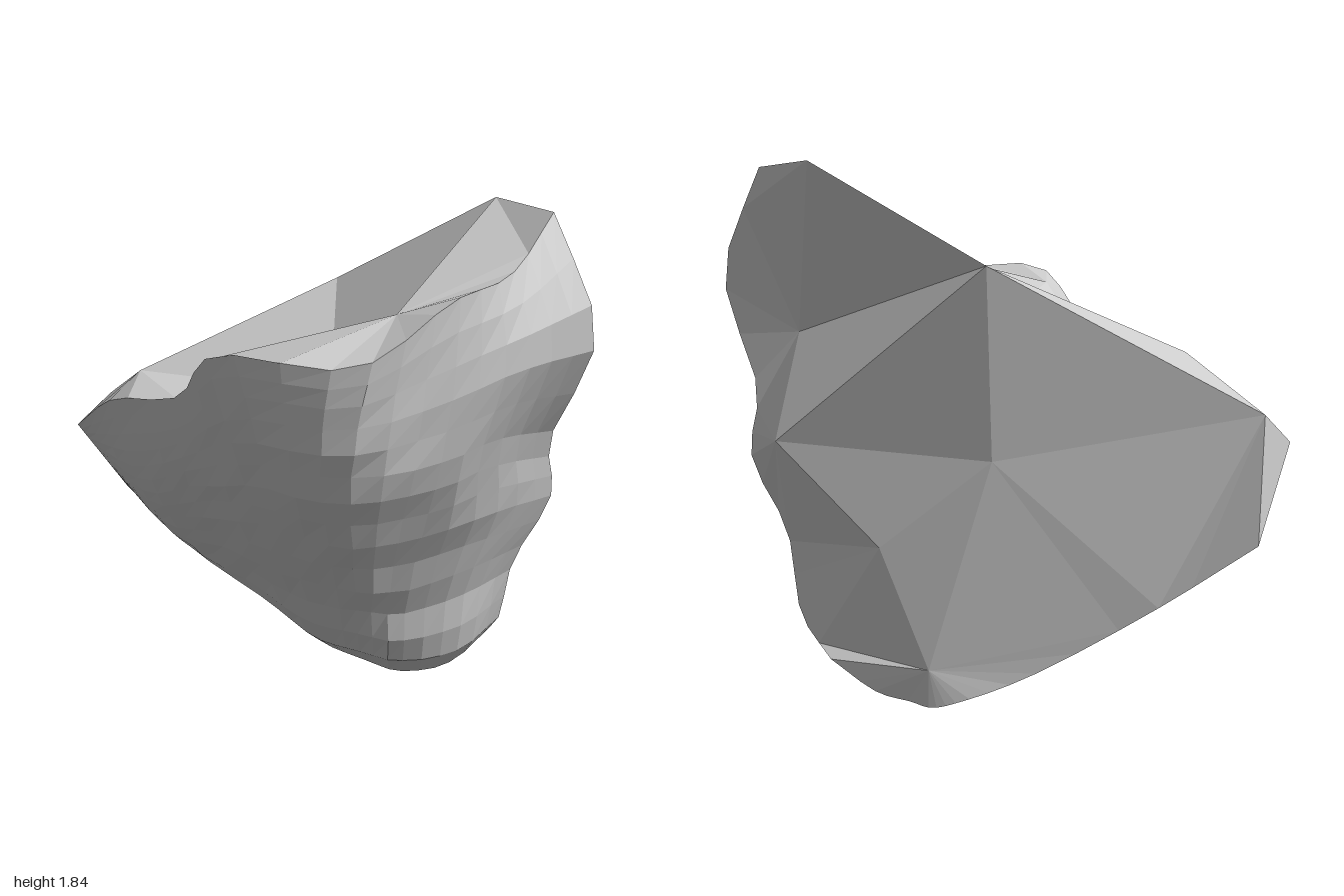
import * as THREE from 'three';

const V = (p) => new THREE.Vector3(...p);
const curve = (pts) => new THREE.CatmullRomCurve3(pts, false, 'centripetal');

// Profiles of the weathered shell, each from the lower edge to the top rim,
// running from the front right edge round the front and left to the back tip
const profiles = [
  [[.65, .13, .34], [.59, .25, .52], [.54, .53, .62], [.58, .8, .745], [.5, 1.02, .78], [.44, 1.43, .98], [.46, 1.82, .78]],
  [[.61, .03, .17], [.3, .2, .54], [.27, .5, .6], [.27, .8, .72], [.2, 1.05, .77], [.2, 1.38, .88], [.22, 1.64, .79]],
  [[.58, .01, .05], [.12, .19, .43], [.06, .45, .48], [-.03, .75, .61], [-.11, 1.02, .74], [-.12, 1.3, .79], [-.1, 1.59, .8]],
  [[.57, 0, -.03], [.08, .2, .26], [-.1, .48, .38], [-.31, .77, .53], [-.46, 1.03, .64], [-.49, 1.25, .69], [-.47, 1.42, .72]],
  [[.53, .03, -.13], [.1, .19, .05], [-.12, .47, .15], [-.38, .8, .27], [-.52, 1.03, .32], [-.61, 1.25, .33], [-.66, 1.43, .3]],
  [[.41, .11, -.31], [.15, .25, -.25], [-.08, .5, -.2], [-.27, .72, -.15], [-.41, .92, -.08], [-.49, 1.08, -.03], [-.55, 1.24, .02]],
  [[.2, .35, -.68], [.08, .42, -.66], [-.1, .6, -.62], [-.24, .82, -.59], [-.35, 1.1, -.57]],
  [[.08, .59, -1], [-.17, .9, -1]],
].map((p) => curve(p.map(V)));

// Corners of the broken faces
const peak = V([.59, 1.84, .45]), ridge = V([.48, 1.5, -.2]), tip = V([-.02, 1.01, -.97]);
const notch = V([.45, 1.24, .62]), bulge = V([.66, .88, .56]), knee = V([.6, .54, .16]);
const foot = V([.57, .13, -.02]), hollow = V([.45, .85, -.2]);
const crest = V([-.1, 1.52, .57]), dip = V([.02, 1.18, .18]), slope = V([-.18, 1.18, -.6]);
const stepTop = V([-.48, 1.38, .15]), stepFoot = V([-.44, 1.16, -.04]);

const NU = 22, NV = 16;

// Shell points: smooth across the profiles, with slanting ledges and fine chips
function shellGrid() {
  const rows = [];
  for (let j = 0; j <= NV; j++) {
    const v = j / NV;
    const across = curve(profiles.map((c) => c.getPoint(v)));
    const row = [];
    for (let i = 0; i <= NU; i++) {
      const u = i / NU, p = across.getPoint(u);
      const fade = Math.sin(Math.PI * u) * Math.sin(Math.PI * v);
      const chip = Math.sin(i * 12.9 + j * 78.2) * 43758.5;
      const ledge = (1 - .6 * v) * Math.sin(26 * (p.y - .2 * p.x));
      const d = fade * (.012 * ledge + .018 * (chip - Math.floor(chip) - .5));
      row.push(p.add(new THREE.Vector3(-.5 * d, -.2 * d, .8 * d)));
    }
    rows.push(row);
  }
  return rows;
}

function facetMesh(name, tris) {
  const g = new THREE.BufferGeometry().setFromPoints(tris.flat());
  g.computeVertexNormals();
  const m = new THREE.Mesh(g, new THREE.MeshStandardMaterial({
    color: 0xcccccc, flatShading: true, side: THREE.DoubleSide,
  }));
  m.name = name;
  return m;
}

// Joins two point chains with triangles, always taking the shorter diagonal
function stitch(a, b) {
  const tris = [];
  let i = 0, j = 0;
  while (i < a.length - 1 || j < b.length - 1) {
    const stepA = j === b.length - 1 ||
      (i < a.length - 1 && a[i + 1].distanceTo(b[j]) <= a[i].distanceTo(b[j + 1]));
    if (stepA) tris.push([a[i], a[++i], b[j]]);
    else tris.push([a[i], b[j], b[++j]]);
  }
  return tris;
}

// Turns every triangle to face the given outward direction
function facing(tris, dir) {
  const n = new THREE.Vector3();
  return tris.map(([a, b, c]) =>
    new THREE.Triangle(a, b, c).getNormal(n).dot(dir) < 0 ? [a, c, b] : [a, b, c]);
}

export function createModel() {
  const group = new THREE.Group();
  group.name = 'rockFragment';
  const rows = shellGrid();

  // Weathered outer shell
  const shell = [];
  for (let j = 0; j < NV; j++) for (let i = 0; i < NU; i++) {
    const a = rows[j][i], b = rows[j][i + 1], c = rows[j + 1][i], d = rows[j + 1][i + 1];
    shell.push([a, c, b], [b, c, d]);
  }
  group.add(facetMesh('weatheredShell', shell));

  // Broken side: from the front right and lower rims to the big facets
  const sideRim = [...rows.map((r) => r[0]).reverse(), ...rows[0].slice(1)];
  const side = [
    ...stitch(sideRim, [peak, notch, bulge, knee, foot, hollow, tip]),
    [peak, ridge, notch], [ridge, notch, bulge], [ridge, bulge, hollow],
    [bulge, knee, hollow], [knee, foot, hollow], [ridge, hollow, tip],
  ];
  group.add(facetMesh('brokenSide', facing(side, V([1, 0, -.25]))));

  // Broken top: a raised ledge at the rim, a step down and the sloping facets
  const top = [
    ...stitch(rows[NV], [peak, crest, stepTop, stepFoot, slope, tip]),
    [peak, crest, dip], [crest, stepTop, dip], [stepTop, stepFoot, dip], [stepFoot, dip, slope],
    [peak, ridge, dip], [ridge, dip, slope], [ridge, slope, tip],
  ];
  group.add(facetMesh('brokenTop', facing(top, V([-.2, 1, -.3]))));

  // Small facet at the back tip
  const back = stitch(rows.map((r) => r[NU]), [tip]);
  group.add(facetMesh('backTip', facing(back, V([0, 0, -1]))));

  return group;
}
